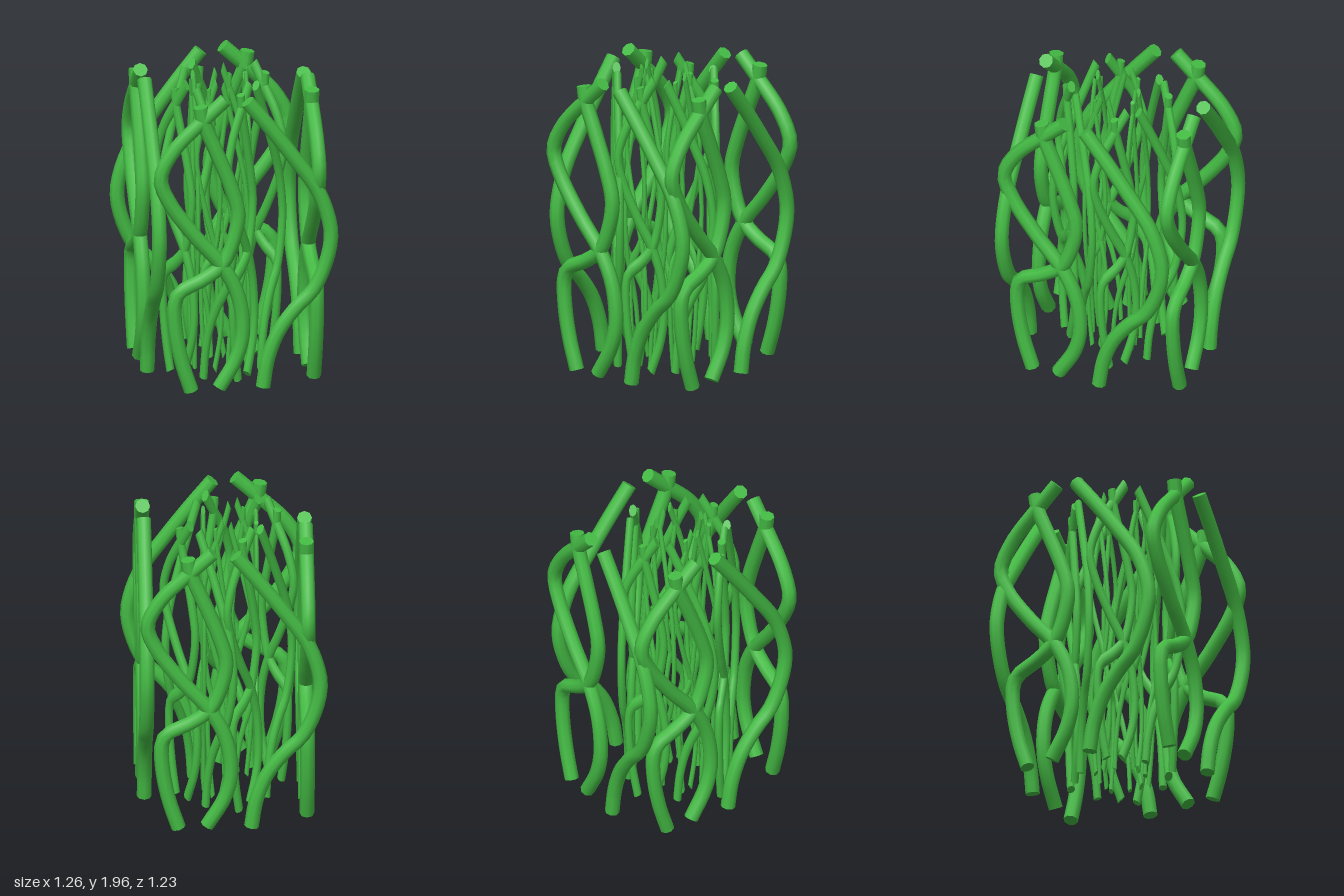
import * as THREE from 'three';
import { mergeGeometries } from 'three/addons/utils/BufferGeometryUtils.js';

const RADIUS = 0.047;
const SIDES = 8;

// Three vine strands in one flat panel, as [x, y] from top to bottom
const STRANDS = {
  bowedStrand: [[0.05, 1.93], [0.19, 1.755], [0.35, 1.54], [0.5, 1.32], [0.57, 1.13], [0.585, 1.0],
    [0.55, 0.83], [0.47, 0.66], [0.36, 0.55], [0.25, 0.4], [0.18, 0.22], [0.15, 0.04]],
  wavingStrand: [[-0.09, 1.95], [-0.23, 1.82], [-0.42, 1.63], [-0.505, 1.45], [-0.45, 1.29], [-0.28, 1.05],
    [-0.11, 0.85], [-0.01, 0.65], [0.02, 0.41], [-0.02, 0.24], [-0.13, 0.05]],
  kinkedStrand: [[-0.25, 1.91], [-0.235, 1.82], [-0.15, 1.61], [-0.055, 1.37], [-0.01, 1.2], [-0.03, 1.05],
    [-0.11, 0.86], [-0.23, 0.77], [-0.385, 0.69], [-0.415, 0.62], [-0.41, 0.44], [-0.37, 0.23], [-0.31, 0.04]],
};

// Round tube along a flat path, closed with a disc at each end
function strandGeometry(points) {
  const curve = new THREE.CatmullRomCurve3(points.map(([x, y]) => new THREE.Vector3(x, y, 0)));
  const parts = [new THREE.TubeGeometry(curve, 36, RADIUS, SIDES, false)];
  for (const [t, sign] of [[0, -1], [1, 1]]) {
    const cap = new THREE.CircleGeometry(RADIUS, SIDES);
    const direction = curve.getTangentAt(t).multiplyScalar(sign);
    const side = new THREE.Vector3(0, 0, 1);
    const basis = new THREE.Matrix4().makeBasis(side, direction.clone().cross(side), direction);
    cap.applyMatrix4(basis.setPosition(curve.getPointAt(t)));
    parts.push(cap);
  }
  return mergeGeometries(parts);
}

export function createModel() {
  const model = new THREE.Group();
  model.name = 'vineCluster';
  const material = new THREE.MeshStandardMaterial({ color: 0x44bb44 });
  const strands = Object.entries(STRANDS).map(([name, points]) => [name, strandGeometry(points)]);

  // Square ring of four panels; the side panels sit closer in and slightly shifted
  function ring(name, scale, turn, x, z) {
    const group = new THREE.Group();
    group.name = name;
    ['front', 'left', 'back', 'right'].forEach((side, k) => {
      const panel = new THREE.Group();
      panel.name = side + 'Panel';
      panel.rotation.y = k * Math.PI / 2;
      for (const [strandName, geometry] of strands) {
        const mesh = new THREE.Mesh(geometry, material);
        mesh.name = strandName;
        mesh.position.set(k % 2 ? -0.065 : 0, 0, k % 2 ? 0.507 : 0.553);
        panel.add(mesh);
      }
      group.add(panel);
    });
    // Inner rings keep the full height and only shrink sideways
    group.scale.set(scale, 1, scale);
    group.rotation.y = turn;
    group.position.set(x, 0, z);
    model.add(group);
  }

  ring('outerVines', 1, 0, 0, 0);
  ring('middleVines', 0.55, -Math.PI / 4, -0.03, 0.03);
  ring('innerVines', 0.3, Math.PI / 2, -0.037, 0.04);
  return model;
}
